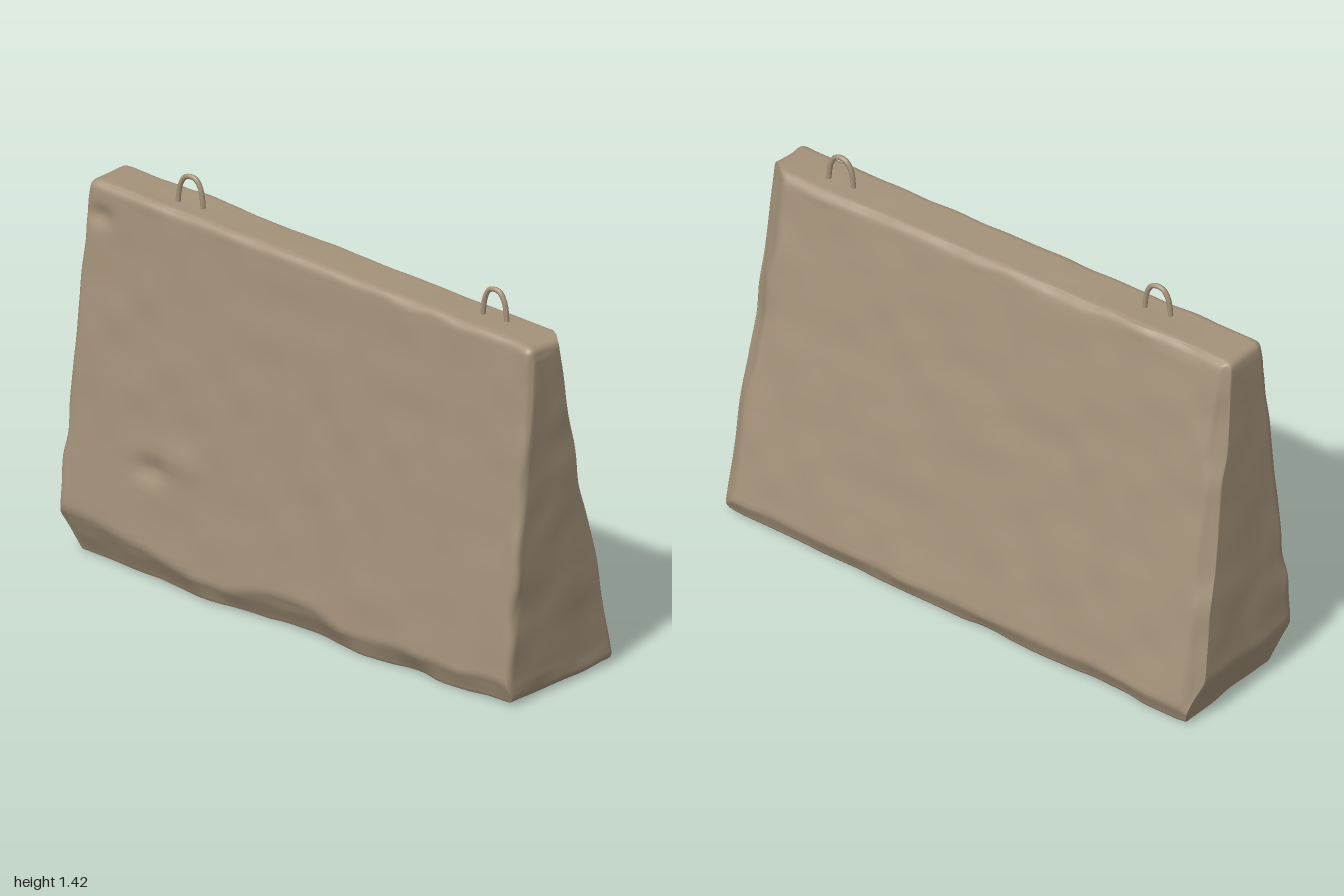
import * as THREE from 'three';
import { mergeVertices } from 'three/addons/utils/BufferGeometryUtils.js';

const { lerp, clamp, smoothstep } = THREE.MathUtils;

// Smooth seeded value noise in -1..1
const hash = (x, y, z) => {
  const s = Math.sin(x * 127.1 + y * 311.7 + z * 74.7) * 43758.5453;
  return (s - Math.floor(s)) * 2 - 1;
};
function noise(x, y, z) {
  const i = Math.floor(x), j = Math.floor(y), k = Math.floor(z);
  const f = (t) => t * t * (3 - 2 * t);
  const a = f(x - i), b = f(y - j), c = f(z - k);
  const edge = (dj, dk) => lerp(hash(i, j + dj, k + dk), hash(i + 1, j + dj, k + dk), a);
  return lerp(lerp(edge(0, 0), edge(1, 0), b), lerp(edge(0, 1), edge(1, 1), b), c);
}

// Crowds grid lines towards the edges of each face
const crowd = (s) => s * (1.35 - 0.35 * s * s);
const bump = (x, y, cx, cy, rx, ry) => Math.exp(-(((x - cx) / rx) ** 2) - ((y - cy) / ry) ** 2);

// Tapered block with rounded, chipped edges and a weathered surface
function blockGeometry() {
  let geo = new THREE.BoxGeometry(2, 2, 2, 96, 64, 28);
  geo.deleteAttribute('uv');
  geo.deleteAttribute('normal');
  geo = mergeVertices(geo);
  const pos = geo.attributes.position;
  const r = 0.03;
  const p = new THREE.Vector3(), core = new THREE.Vector3();

  for (let i = 0; i < pos.count; i++) {
    const u = crowd(pos.getX(i)), w = crowd(pos.getZ(i));
    const v = (crowd(pos.getY(i)) + 1) / 2;

    // Sloping faces
    const left = lerp(-0.998, -0.945, v), right = lerp(0.975, 0.997, v);
    const x = lerp(left, right, (u + 1) / 2);
    const height = 1.286 - 0.036 * x;
    const front = lerp(0.282, 0.17, v), back = lerp(-0.282, -0.018, v);
    p.set(x, 0.008 + v * height, lerp(back, front, (w + 1) / 2));

    // Rounded edges
    core.set(clamp(p.x, left + r, right - r), clamp(p.y, 0.008 + r, 0.008 + height - r),
      clamp(p.z, back + r, front - r));
    p.sub(core);
    if (p.length() > r) p.setLength(r);
    p.add(core);

    // Broken lower edges and worn back corners
    const chip = 0.085 + 0.09 * smoothstep(-p.x, 0.35, 1) + 0.04 * bump(p.x, 0, 0, 0, 0.2, 1)
      + 0.015 * noise(p.x * 8, 3, 1);
    p.z = Math.min(p.z, front - Math.max(0, chip - p.y) * 0.55);
    p.z = Math.max(p.z, back + Math.max(0, 0.075 - p.y) * 0.7);
    p.x = Math.max(p.x, left + Math.max(0, 0.16 - p.y) * 0.38);
    const worn = Math.max(0, Math.abs(p.x) - 0.92 + 0.02 * noise(2, p.y * 7, 5));
    p.z = Math.max(p.z, back + worn * 0.75);

    // Dents in the front face and a notch in the back corner
    if (w > 0) {
      p.z -= 0.022 * bump(p.x, p.y, -0.6, 0.4, 0.07, 0.035);
      p.z += 0.012 * bump(p.x, p.y, -0.46, 0.46, 0.09, 0.06);
      p.z -= 0.018 * bump(p.x, p.y, -0.88, 1.21, 0.05, 0.03);
    } else if (p.x > 0.85) {
      p.z += 0.02 * -w * smoothstep(p.x, 0.85, 0.97) * bump(0, p.y, 0, 0.72, 1, 0.1);
    }

    // Weathering: stronger close to the block's edges
    const nearEdge = [Math.abs(u) > 0.96, v < 0.06 || v > 0.97, Math.abs(w) > 0.85]
      .filter(Boolean).length > 1;
    const amount = nearEdge ? 0.007 : 0.0035;
    const { x: a, y: b, z: c } = p;
    p.x += amount * noise(a * 9 + 11, b * 9, c * 9);
    p.y += amount * noise(a * 9, b * 9 + 23, c * 9);
    p.z += amount * noise(a * 9, b * 9, c * 9 + 37);
    p.y = Math.max(p.y, 0);
    pos.setXYZ(i, p.x, p.y, p.z);
  }
  geo.computeVertexNormals();
  return geo;
}

// Bent steel lifting loop set into the top
function loopGeometry() {
  const path = new THREE.CatmullRomCurve3([
    [-0.05, -0.04], [-0.048, 0.02], [-0.038, 0.07], [-0.018, 0.097],
    [0.018, 0.097], [0.038, 0.07], [0.048, 0.02], [0.05, -0.04],
  ].map(([x, y]) => new THREE.Vector3(x, y, 0)));
  return new THREE.TubeGeometry(path, 32, 0.009, 8);
}

export function createModel() {
  const group = new THREE.Group();
  group.name = 'concreteBarrier';
  const concrete = new THREE.MeshStandardMaterial({ color: 0xa4927a });
  concrete.name = 'weathered concrete';

  const block = new THREE.Mesh(blockGeometry(), concrete);
  block.name = 'barrierBlock';
  group.add(block);

  const loop = loopGeometry();
  [['rightLiftingLoop', -0.56, 1.312, 0.093, 0.12], ['leftLiftingLoop', 0.737, 1.266, 0.06, 0.05]]
    .forEach(([name, x, y, z, turn]) => {
      const mesh = new THREE.Mesh(loop, concrete);
      mesh.name = name;
      mesh.position.set(x, y, z);
      mesh.rotation.y = turn;
      group.add(mesh);
    });
  return group;
}
